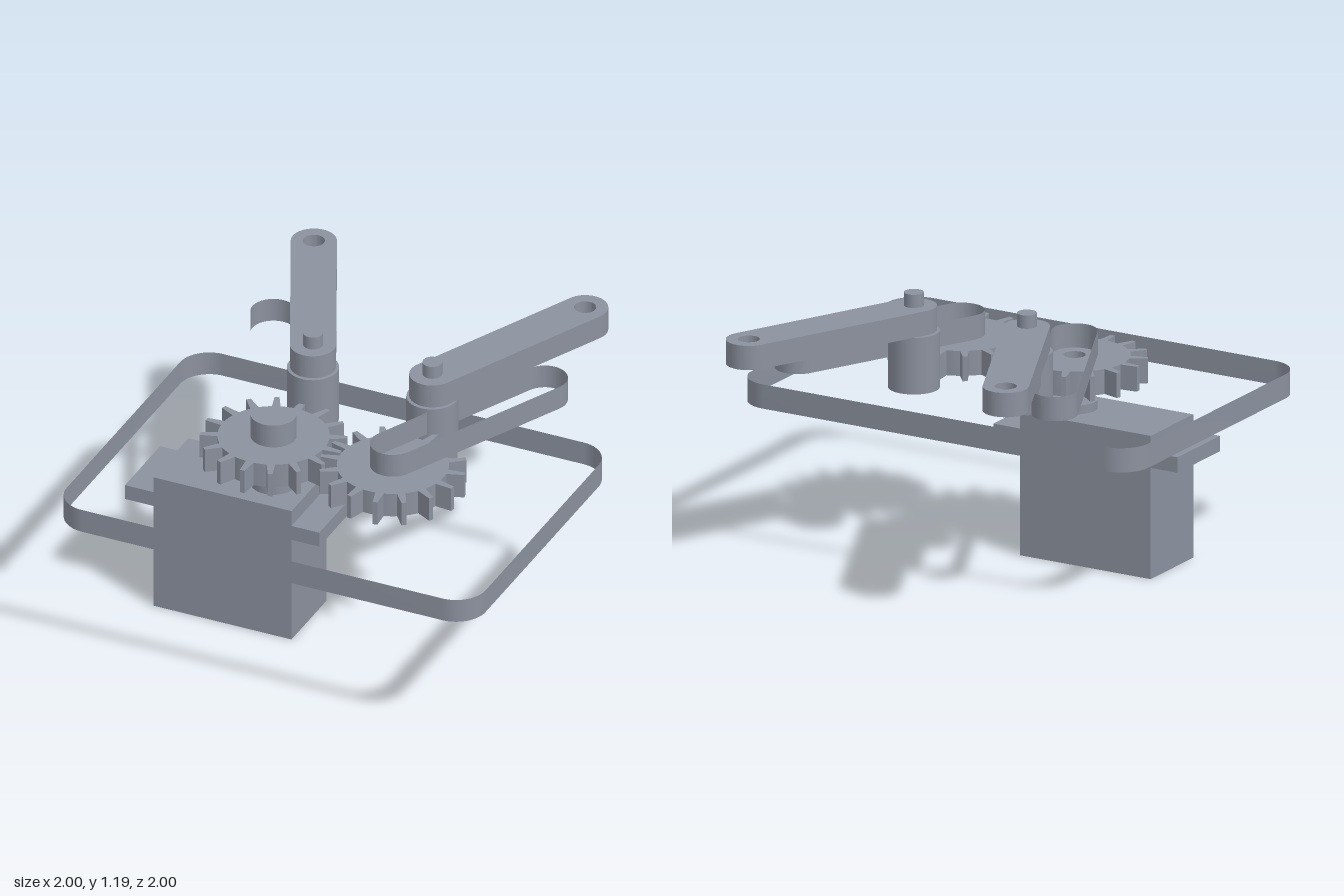
import * as THREE from 'three';
import { toCreasedNormals } from 'three/addons/utils/BufferGeometryUtils.js';

const grey = new THREE.MeshStandardMaterial({ color: 0x8b919e, side: THREE.DoubleSide });
grey.name = 'slate grey';

const GEAR_X = 0.285, GEAR_Z = 0.28, POST_Z = -0.12;
const HOLE_R = 0.048, ARM_R = 0.1, TEETH = 16;

function addMesh(parent, name, geometry) {
  const mesh = new THREE.Mesh(geometry, grey);
  mesh.name = name;
  parent.add(mesh);
  return mesh;
}

// Plan shapes use (x, -z); they are raised from y0 to y1.
function raise(shape, y0, y1) {
  const g = new THREE.ExtrudeGeometry(shape, { depth: y1 - y0, bevelEnabled: false, curveSegments: 20 });
  g.rotateX(-Math.PI / 2).translate(0, y0, 0);
  return g;
}

const solid = (shape, y0, y1) => toCreasedNormals(raise(shape, y0, y1), 0.4);

// Only the upright walls of a raised shape, without caps.
function band(shape, y0, y1) {
  const g = raise(shape, y0, y1);
  const { start, count } = g.groups[1];
  const walls = new THREE.BufferGeometry();
  const corners = g.attributes.position.array.slice(start * 3, (start + count) * 3);
  walls.setAttribute('position', new THREE.BufferAttribute(corners, 3));
  return toCreasedNormals(walls, 0.4);
}

function addHole(shape, x, z, r) {
  const hole = new THREE.Path();
  hole.absarc(x, -z, r, 0, Math.PI * 2, true);
  shape.holes.push(hole);
}

// Straight link with round ends
function linkShape(x0, z0, x1, z1) {
  const a = Math.atan2(z0 - z1, x1 - x0), q = Math.PI / 2;
  const s = new THREE.Shape();
  s.absarc(x1, -z1, ARM_R, a - q, a + q, false);
  s.absarc(x0, -z0, ARM_R, a + q, a + 3 * q, false);
  s.closePath();
  return s;
}

function roundedRect(x0, x1, z0, z1, r) {
  const s = new THREE.Shape(), q = Math.PI / 2;
  s.absarc(x1 - r, -z0 - r, r, 0, q, false);
  s.absarc(x0 + r, -z0 - r, r, q, 2 * q, false);
  s.absarc(x0 + r, -z1 + r, r, 2 * q, 3 * q, false);
  s.absarc(x1 - r, -z1 + r, r, 3 * q, 4 * q, false);
  s.closePath();
  return s;
}

// Spur gear with tapered teeth
function gearShape(phase) {
  const step = (Math.PI * 2) / TEETH, root = 0.243, tip = 0.32;
  const profile = [[-0.15, root], [-0.085, tip], [0.085, tip], [0.15, root], [0.325, root], [0.5, root], [0.675, root]];
  const points = [];
  for (let i = 0; i < TEETH; i++) {
    for (const [f, r] of profile) {
      const w = r === tip ? f : f < 0.2 ? f * 1.3 : f;
      const a = phase + (i + w) * step;
      points.push(new THREE.Vector2(Math.cos(a) * r, Math.sin(a) * r));
    }
  }
  const s = new THREE.Shape(points);
  addHole(s, 0, 0, HOLE_R);
  return s;
}

function box(x0, x1, y0, y1, z0, z1) {
  const g = new THREE.BoxGeometry(x1 - x0, y1 - y0, z1 - z0);
  return g.translate((x0 + x1) / 2, (y0 + y1) / 2, (z0 + z1) / 2);
}

function rod(x, z, r, y0, y1) {
  return new THREE.CylinderGeometry(r, r, y1 - y0, 40).translate(x, (y0 + y1) / 2, z);
}

export function createModel() {
  const model = new THREE.Group();
  model.name = 'gearedGripper';

  // Base outline
  addMesh(model, 'basePlateRim', band(roundedRect(-1, 1, -0.43, 1, 0.14), 0.65, 0.76));

  // Servo motor
  const servo = new THREE.Group();
  servo.name = 'servo';
  model.add(servo);
  addMesh(servo, 'servoBody', box(-0.775, -0.115, 0, 0.65, 0.103, 0.46));
  addMesh(servo, 'servoFlange', box(-0.91, 0.018, 0.505, 0.575, 0.103, 0.46));
  addMesh(servo, 'servoShaft', rod(-GEAR_X, GEAR_Z, 0.1, 0.65, 0.69));

  // Mirrored gears, links and posts
  for (const [side, label] of [[1, 'left'], [-1, 'right']]) {
    const x = side * GEAR_X, far = side * 0.648;
    const phase = side > 0 ? Math.PI / TEETH : 0;
    addMesh(model, label + 'Gear', solid(gearShape(phase), 0.777, 0.89)).position.set(x, 0, GEAR_Z);
    addMesh(model, label + 'DriveLink', band(linkShape(x, GEAR_Z, far, -0.49), 0.89, 1.0));
    addMesh(model, label + 'Post', rod(x, POST_Z, 0.113, 0.76, 1.017));
    addMesh(model, label + 'Pin', rod(x, POST_Z, 0.043, 1.017, 1.19));
    const arm = linkShape(x, POST_Z, far, -0.9);
    addHole(arm, far, -0.9, HOLE_R);
    addMesh(model, label + 'Arm', solid(arm, 1.02, 1.13));
  }
  return model;
}
